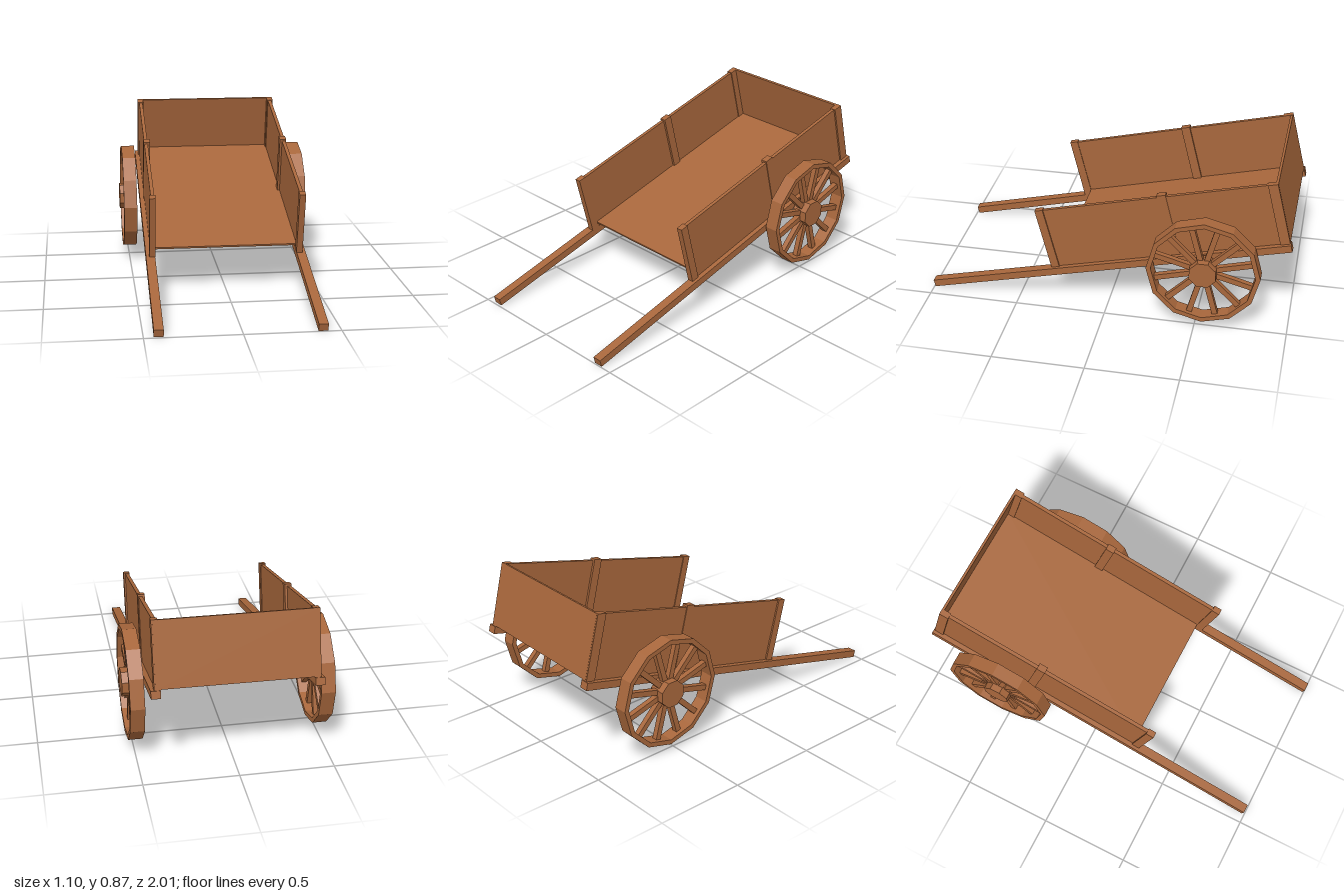
import * as THREE from 'three';

export function createModel() {
  const model = new THREE.Group();
  model.name = 'handcart';
  const wood = new THREE.MeshStandardMaterial({ color: 0xa8673c, flatShading: true });
  wood.name = 'brown wood';

  // Box given by its minimum and maximum corners
  const slab = (parent, name, [x0, y0, z0], [x1, y1, z1]) => {
    const mesh = new THREE.Mesh(new THREE.BoxGeometry(Math.abs(x1 - x0), y1 - y0, z1 - z0), wood);
    mesh.position.set((x0 + x1) / 2, (y0 + y1) / 2, (z0 + z1) / 2);
    mesh.name = name;
    parent.add(mesh);
  };

  // Cart body, built level and then tipped forward onto its shafts
  const body = new THREE.Group();
  body.name = 'cartBody';
  body.rotation.order = 'YXZ';
  body.rotation.set(0.241, -0.0085, 0);
  model.add(body);

  slab(body, 'floor', [-0.395, 0.3, -1.075], [0.395, 0.31, 0.205]);
  slab(body, 'backBoard', [-0.415, 0.282, -1.084], [0.415, 0.634, -1.07]);

  for (const s of [-1, 1]) {
    const side = s > 0 ? 'left' : 'right';
    slab(body, side + 'Shaft', [s * 0.39, 0.237, -1.088], [s * 0.44, 0.278, 0.961]);
    slab(body, side + 'SideBoard', [s * 0.393, 0.278, -1.08], [s * 0.413, 0.632, 0.245]);
    slab(body, side + 'FrontPost', [s * 0.388, 0.278, 0.205], [s * 0.422, 0.637, 0.25]);
    slab(body, side + 'MiddlePost', [s * 0.38, 0.278, -0.485], [s * 0.417, 0.643, -0.435]);
    slab(body, side + 'BackPost', [s * 0.388, 0.278, -1.083], [s * 0.422, 0.635, -1.03]);
  }

  // Spoked wheels: twelve-sided rim, twelve spokes, eight-sided hub
  const count = 12, outer = 0.306, inner = 0.28, width = 0.076;
  const ring = (path, r) => {
    for (let i = 0; i < count; i++) {
      const a = (i / count) * Math.PI * 2;
      if (i) path.lineTo(r * Math.cos(a), r * Math.sin(a));
      else path.moveTo(r, 0);
    }
    path.closePath();
    return path;
  };
  const rimShape = ring(new THREE.Shape(), outer);
  rimShape.holes.push(ring(new THREE.Path(), inner));
  const rimGeo = new THREE.ExtrudeGeometry(rimShape, { depth: width, bevelEnabled: false });
  rimGeo.translate(0, 0, -width / 2);
  const spokeGeo = new THREE.BoxGeometry(0.225, 0.03, 0.03);
  spokeGeo.translate(0.1625, 0, 0);
  const hubGeo = new THREE.CylinderGeometry(0.077, 0.077, 0.09, 8);
  hubGeo.rotateX(Math.PI / 2);
  hubGeo.rotateZ(Math.PI / 8);
  hubGeo.translate(0, 0, 0.008);

  for (const s of [-1, 1]) {
    const wheel = new THREE.Group();
    wheel.name = s > 0 ? 'leftWheel' : 'rightWheel';
    const add = (geo, name, angle = 0) => {
      const mesh = new THREE.Mesh(geo, wood);
      mesh.name = name;
      mesh.rotation.z = angle;
      wheel.add(mesh);
    };
    add(rimGeo, 'rim');
    add(hubGeo, 'hub');
    for (let i = 0; i < count; i++) add(spokeGeo, 'spoke', ((i + 0.5) / count) * Math.PI * 2);
    wheel.position.set(s * 0.497, 0.35, -0.54);
    wheel.rotation.y = (s * Math.PI) / 2;
    model.add(wheel);
  }
  return model;
}
